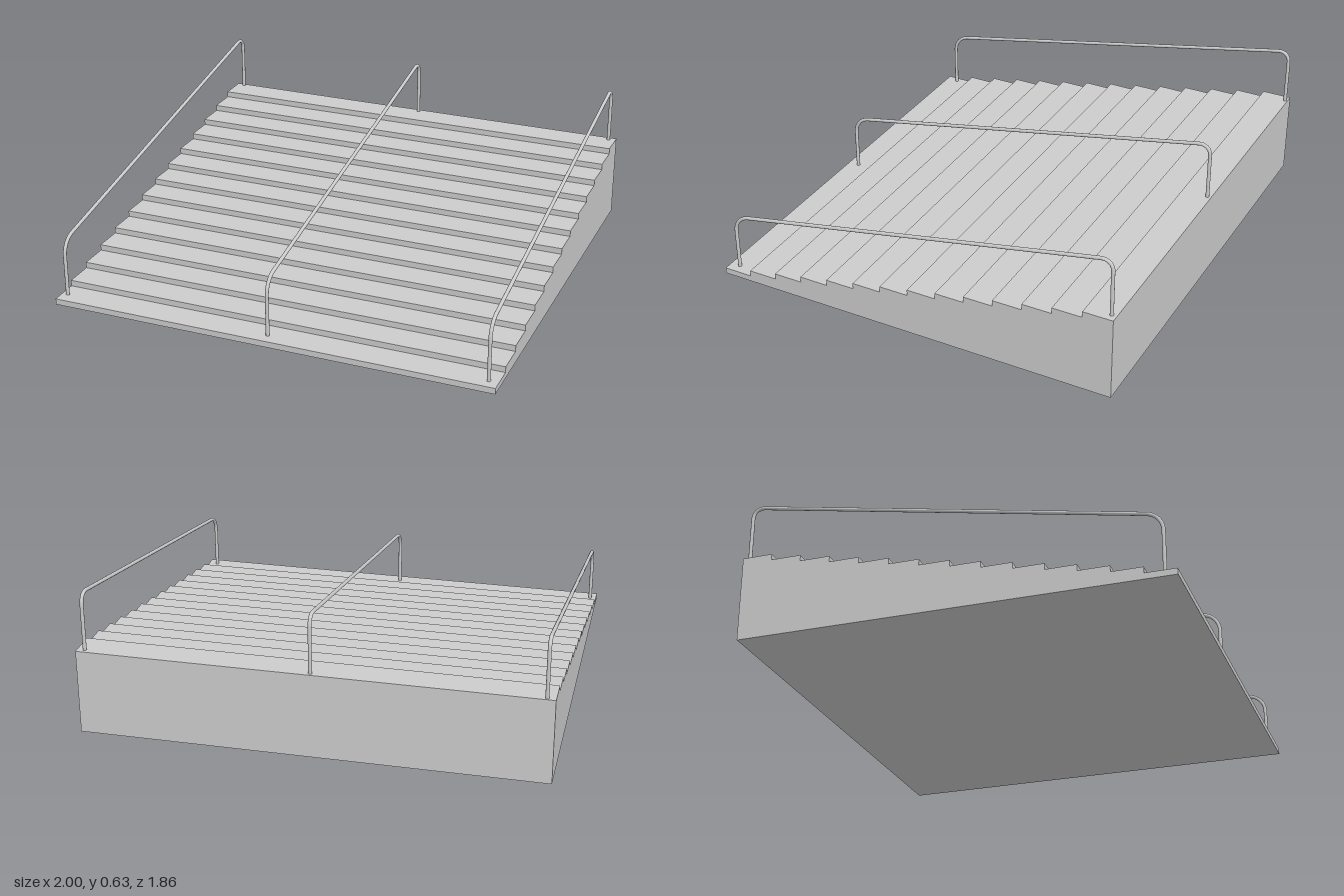
import * as THREE from 'three';

const STEPS = 14, WIDTH = 1.99, DEPTH = 1.855, HEIGHT = 0.375;

// Solid flight of steps: a stepped side profile extruded across the width
function stairGeometry() {
  const run = DEPTH / STEPS, rise = HEIGHT / STEPS;
  const shape = new THREE.Shape();
  shape.moveTo(-DEPTH / 2, 0);
  shape.lineTo(DEPTH / 2, 0);
  for (let i = 0; i < STEPS; i++) {
    shape.lineTo(DEPTH / 2 - i * run, (i + 1) * rise);
    shape.lineTo(DEPTH / 2 - (i + 1) * run, (i + 1) * rise);
  }
  const geometry = new THREE.ExtrudeGeometry(shape, { depth: WIDTH, bevelEnabled: false });
  geometry.rotateY(-Math.PI / 2);
  geometry.translate(WIDTH / 2, 0, 0);
  return geometry;
}

// Handrail path: front post, sloped rail and rear post joined by rounded bends
function railGeometry() {
  const p = (z, y) => new THREE.Vector3(0, y, z);
  const path = new THREE.CurvePath();
  const bend = (start, corner, end) => path.add(new THREE.CubicBezierCurve3(
    start, start.clone().lerp(corner, 0.58), end.clone().lerp(corner, 0.58), end));
  const a = p(0.876, 0.213), b = p(0.807, 0.296);
  const c = p(-0.856, 0.624), d = p(-0.91, 0.579);
  path.add(new THREE.LineCurve3(p(0.876, 0.022), a));
  bend(a, p(0.876, 0.283), b);
  path.add(new THREE.LineCurve3(b, c));
  bend(c, p(-0.91, 0.634), d);
  path.add(new THREE.LineCurve3(d, p(-0.91, 0.37)));
  return new THREE.TubeGeometry(path, 220, 0.008, 12, false);
}

export function createModel() {
  const model = new THREE.Group();
  model.name = 'staircase';
  const material = new THREE.MeshStandardMaterial({ color: 0xcccccc });

  // The steps sit very slightly turned relative to the rails
  const stairs = new THREE.Mesh(stairGeometry(), material);
  stairs.name = 'steps';
  stairs.rotation.y = 0.005;
  model.add(stairs);

  // Three identical handrails
  const rail = railGeometry();
  const positions = { rightHandrail: -0.963, middleHandrail: -0.006, leftHandrail: 0.957 };
  for (const [name, x] of Object.entries(positions)) {
    const mesh = new THREE.Mesh(rail, material);
    mesh.name = name;
    mesh.position.x = x;
    model.add(mesh);
  }
  return model;
}
